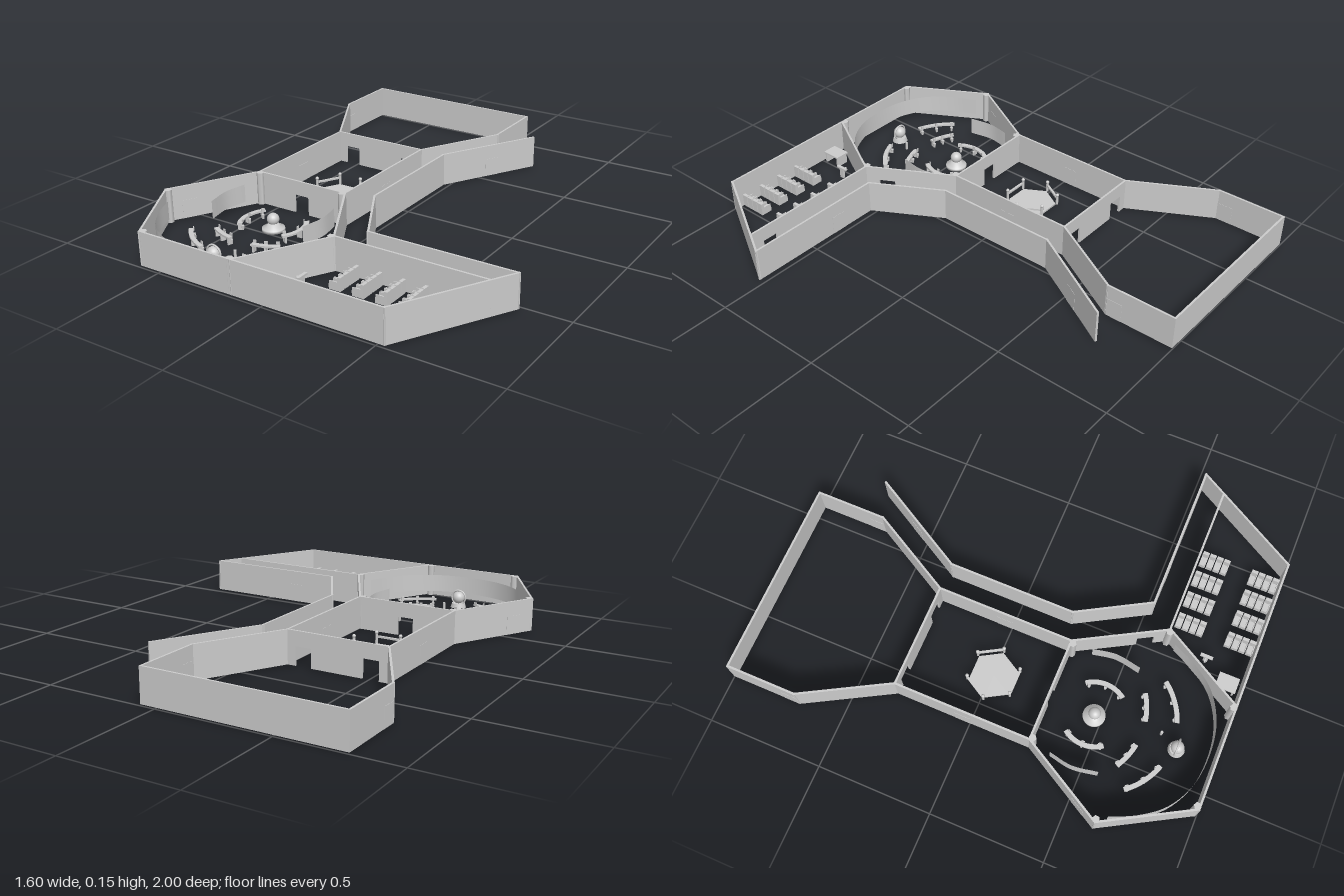
import * as THREE from 'three';

const H = 0.152, BASE = 0.006, T = 0.009, DOOR_H = 0.088, DOOR_W = 0.072, CX = -0.365;
const mat = new THREE.MeshStandardMaterial({ color: 0xcccccc });
const thinMat = new THREE.MeshStandardMaterial({ color: 0xcccccc, side: THREE.DoubleSide });

function add(parent, name, geo, x = 0, y = 0, z = 0, ry = 0, material = mat) {
  const m = new THREE.Mesh(geo, material);
  m.name = name;
  m.position.set(x, y, z);
  m.rotation.y = ry;
  parent.add(m);
  return m;
}
const box = (w, h, d) => new THREE.BoxGeometry(w, h, d);
const cyl = (r1, r2, h, n = 20) => new THREE.CylinderGeometry(r1, r2, h, n);

// Straight wall from a to b; door = distance fraction along it, open or filled with a slab
function wall(parent, name, a, b, doors = [], open = false) {
  const dx = b[0] - a[0], dz = b[1] - a[1], len = Math.hypot(dx, dz);
  const g = new THREE.Group();
  g.name = name;
  const s = new THREE.Shape();
  s.moveTo(-T / 2, BASE);
  for (const t of doors) {
    const c = t * len;
    s.lineTo(c - DOOR_W / 2, BASE);
    s.lineTo(c - DOOR_W / 2, DOOR_H);
    s.lineTo(c + DOOR_W / 2, DOOR_H);
    s.lineTo(c + DOOR_W / 2, BASE);
    if (!open) add(g, 'doorLeaf', box(DOOR_W, DOOR_H - BASE, T + 0.002), c, (DOOR_H + BASE) / 2, 0);
  }
  s.lineTo(len + T / 2, BASE);
  s.lineTo(len + T / 2, H);
  s.lineTo(-T / 2, H);
  const geo = new THREE.ExtrudeGeometry(s, { depth: T, bevelEnabled: false });
  add(g, 'wallPanel', geo.translate(0, 0, -T / 2));
  g.position.set(a[0], 0, a[1]);
  g.rotation.y = -Math.atan2(dz, dx);
  parent.add(g);
}

// Upright curved band along plan points, between heights y0 and y1
function band(parent, name, pts, y0, y1, n = 40) {
  const c = new THREE.CatmullRomCurve3(pts.map(([x, z]) => new THREE.Vector3(x, 0, z)));
  const geo = new THREE.PlaneGeometry(1, y1 - y0, n, 1), p = geo.attributes.position;
  for (let i = 0; i < p.count; i++) {
    const q = c.getPoint(p.getX(i) + 0.5);
    p.setXYZ(i, q.x, p.getY(i) + (y0 + y1) / 2, q.z);
  }
  geo.computeVertexNormals();
  return add(parent, name, geo, 0, 0, 0, 0, thinMat);
}

// Curved console on legs with three stools; angles run in plan from +x towards +z
function console_(parent, cx, cz, r, a0, a1, stoolSide) {
  const g = new THREE.Group();
  g.name = 'curvedConsole';
  const ring = (ri, ro, h) => {
    const s = new THREE.Shape();
    s.absarc(0, 0, ro, a0, a1, false);
    s.absarc(0, 0, ri, a1, a0, true);
    return new THREE.ExtrudeGeometry(s, { depth: h, bevelEnabled: false, curveSegments: 10 }).rotateX(Math.PI / 2);
  };
  add(g, 'consoleTop', ring(r - 0.01, r + 0.01, 0.008), 0, 0.042, 0);
  for (const t of [0.08, 0.5, 0.92]) {
    const a = a0 + (a1 - a0) * t;
    add(g, 'consoleLeg', box(0.016, 0.028, 0.008), Math.cos(a) * r, 0.02, Math.sin(a) * r, -a);
    const rs = r + stoolSide * 0.011;
    add(g, 'screen', box(0.004, 0.014, 0.014), Math.cos(a) * rs, 0.047, Math.sin(a) * rs, -a);
    add(g, 'stool', cyl(0.007, 0.005, 0.02, 10), Math.cos(a) * rs, 0.016, Math.sin(a) * rs);
  }
  g.position.set(cx, 0, cz);
  parent.add(g);
}

function buildWalls(root) {
  const walls = new THREE.Group();
  walls.name = 'walls';
  root.add(walls);
  // Back room and its taper
  wall(walls, 'backWall', [-0.79, -0.995], [0.06, -0.995]);
  for (const [x, xn] of [[-0.79, -0.59], [0.06, -0.14]]) {
    wall(walls, 'backRoomSide', [x, -0.995], [x, -0.69], [0.88]);
    wall(walls, 'backRoomTaper', [x, -0.69], [xn, -0.33]);
    wall(walls, 'middleRoomSide', [xn, -0.33], [xn, 0.267], [0.5]);
  }
  wall(walls, 'middleRoomBack', [-0.59, -0.33], [-0.14, -0.33], [0.167, 0.833], true);
  // Hexagonal room
  wall(walls, 'hallBack', [-0.59, 0.267], [-0.14, 0.267], [0.5], true);
  wall(walls, 'hallBackRight', [-0.59, 0.267], [-0.795, 0.63], [0.76]);
  wall(walls, 'hallBackLeft', [-0.14, 0.267], [0.065, 0.63], [0.76], true);
  wall(walls, 'hallFrontRight', [-0.795, 0.63], [-0.59, 0.99]);
  wall(walls, 'hallFrontLeft', [0.065, 0.63], [-0.14, 0.99]);
  // Front wall, lecture room and corridor
  wall(walls, 'frontWall', [-0.59, 0.99], [0.53, 0.99]);
  wall(walls, 'lectureEnd', [0.53, 0.99], [0.795, 0.525]);
  wall(walls, 'lectureBack', [0.065, 0.627], [0.735, 0.627], [0.86], true);
  wall(walls, 'corridorWall', [0.795, 0.525], [0.15, 0.525], [0.7]);
  wall(walls, 'corridorBend', [0.15, 0.525], [-0.022, 0.225]);
  wall(walls, 'corridorStraight', [-0.022, 0.225], [-0.022, -0.33]);
  wall(walls, 'corridorEnd', [-0.022, -0.33], [0.217, -0.75], [0.53]);
  // Corner columns of the hexagonal room
  for (const [x, z] of [[-0.58, 0.277], [-0.15, 0.277], [0.053, 0.63], [-0.783, 0.63], [-0.58, 0.98], [-0.15, 0.98]])
    add(walls, 'cornerColumn', cyl(0.016, 0.016, H - BASE, 6), x, (H + BASE) / 2, z);
}

function buildHexTable(root) {
  const g = new THREE.Group();
  g.name = 'hexPlatform';
  g.position.set(CX, 0, 0.01);
  root.add(g);
  add(g, 'platform', cyl(0.105, 0.105, 0.008, 6), 0, 0.004, 0, Math.PI / 6);
  for (let i = 0; i < 6; i++) {
    const a = i * Math.PI / 3;
    add(g, 'post', cyl(0.006, 0.006, 0.046, 8), Math.cos(a) * 0.112, 0.029, Math.sin(a) * 0.112);
    add(g, 'postCap', new THREE.SphereGeometry(0.008, 10, 8), Math.cos(a) * 0.112, 0.054, Math.sin(a) * 0.112);
    if (i % 2) {
      const m = a + Math.PI * (i === 1 ? 1 / 6 : 1 / 6);
      add(g, 'rail', box(0.01, 0.008, 0.1), Math.cos(m) * 0.098, 0.036, Math.sin(m) * 0.098, -m);
    }
  }
}

function buildHall(root) {
  const g = new THREE.Group();
  g.name = 'hexHall';
  root.add(g);
  // Curved screens around the hall
  const half = [[0.385, 0.67], [0.335, 0.775], [0.255, 0.875], [0.135, 0.94]];
  const arc = [...half.map(([x, z]) => [CX - x, z]), [CX, 0.958], ...half.slice().reverse().map(([x, z]) => [CX + x, z])];
  band(g, 'frontScreen', arc, 0.04, 0.12);
  for (const s of [-1, 1]) {
    band(g, 'sideScreen', [[CX + s * 0.235, 0.36], [CX + s * 0.252, 0.46], [CX + s * 0.235, 0.57]], 0.04, 0.12, 12);
    // Consoles, mirrored about the hall axis
    const flip = (a, b) => s > 0 ? [a, b] : [Math.PI - b, Math.PI - a];
    console_(g, CX, 0.465, 0.138, ...flip(-0.65, 0.65), -1);
    console_(g, CX, 0.36, 0.315, ...flip(1.02, 1.4), -1);
    console_(g, CX, 0.5, 0.31, ...flip(0.66, 1.25), -1);
  }
  // Round pedestal with a ball
  const profile = [[0, 0.006], [0.048, 0.006], [0.048, 0.018], [0.03, 0.024], [0.02, 0.04], [0, 0.04]];
  add(g, 'pedestal', new THREE.LatheGeometry(profile.map(p => new THREE.Vector2(...p)), 28), CX, 0, 0.465);
  add(g, 'ball', new THREE.SphereGeometry(0.026, 20, 14), CX, 0.056, 0.465);
  // Front pedestal carrying an upright ring and globe
  add(g, 'globeBase', cyl(0.03, 0.036, 0.02, 24), CX, 0.016, 0.83);
  add(g, 'globe', new THREE.SphereGeometry(0.028, 20, 14), CX, 0.052, 0.83);
  add(g, 'globeRing', new THREE.TorusGeometry(0.034, 0.004, 8, 28), CX, 0.052, 0.83);
  add(g, 'marker', cyl(0.006, 0.006, 0.035, 10), -0.328, 0.023, 0.75);
}

function buildLectureRoom(root) {
  const g = new THREE.Group();
  g.name = 'lectureRoom';
  root.add(g);
  // Rows of seats facing the speaker
  for (const x of [0.158, 0.262, 0.365, 0.463])
    for (const z0 of [0.652, 0.875])
      for (let i = 0; i < 4; i++) {
        const z = z0 + i * 0.032;
        add(g, 'seat', box(0.052, 0.024, 0.028), x, 0.018, z);
        add(g, 'seatBack', box(0.014, 0.034, 0.028), x + 0.02, 0.046, z);
        for (const s of [-1, 1]) add(g, 'armrest', box(0.038, 0.012, 0.004), x - 0.005, 0.036, z + s * 0.012);
      }
  // Speaker's lectern and desk
  add(g, 'lecternTop', box(0.014, 0.008, 0.055), 0.045, 0.056, 0.81);
  add(g, 'lecternPost', box(0.012, 0.046, 0.02), 0.045, 0.029, 0.81);
  add(g, 'lecternArm', box(0.02, 0.008, 0.008), 0.03, 0.045, 0.81);
  add(g, 'deskTop', box(0.068, 0.008, 0.088), -0.03, 0.056, 0.928);
  for (const s of [-1, 1]) add(g, 'deskSide', box(0.06, 0.046, 0.008), -0.03, 0.029, 0.928 + s * 0.036);
}

export function createModel() {
  const root = new THREE.Group();
  root.name = 'buildingInterior';
  buildWalls(root);
  buildHexTable(root);
  buildHall(root);
  buildLectureRoom(root);
  return root;
}
